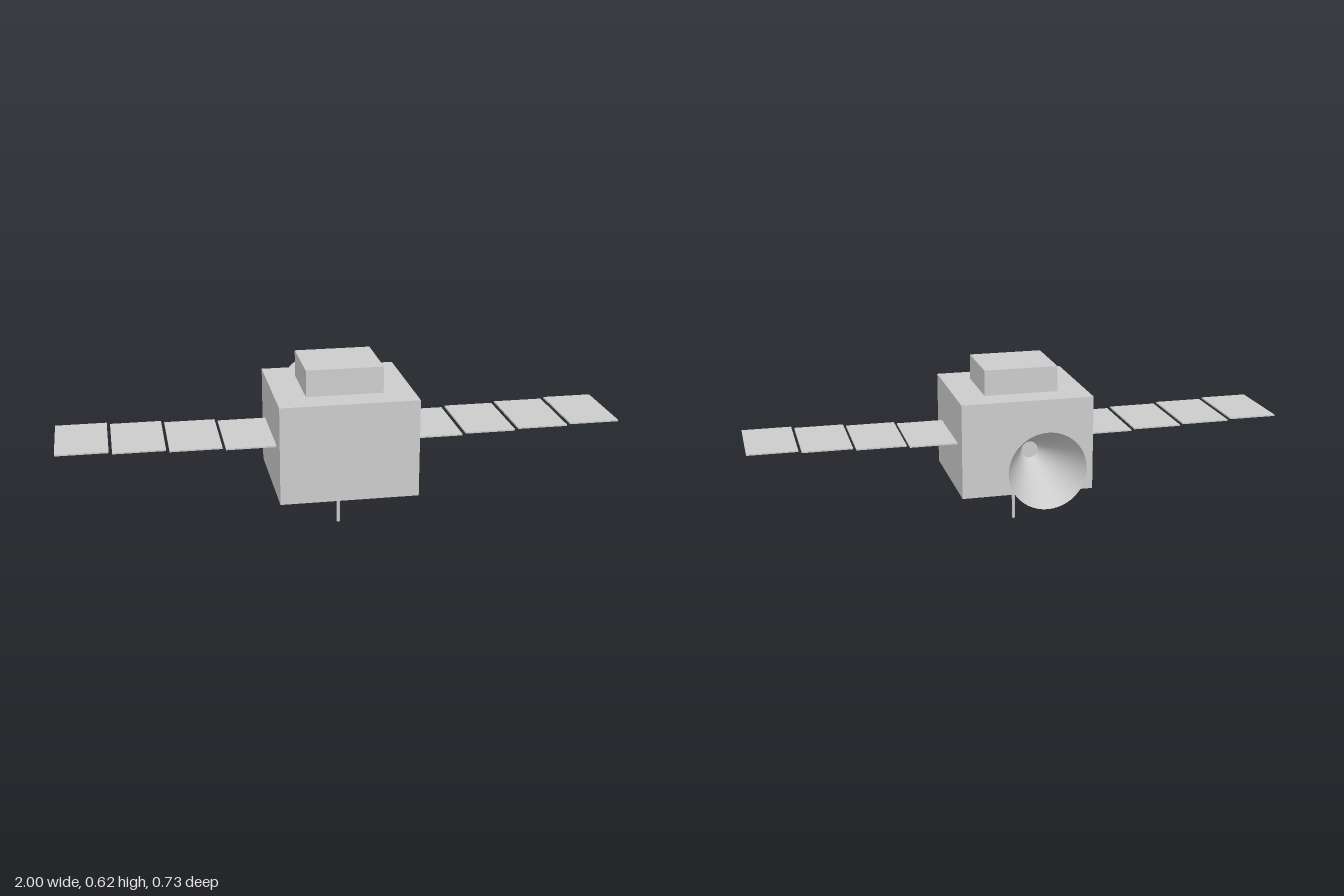
import * as THREE from 'three';

const grey = new THREE.MeshStandardMaterial({ color: 0xcccccc });
const greyOpen = new THREE.MeshStandardMaterial({ color: 0xcccccc, side: THREE.DoubleSide });

function add(parent, name, geometry, x, y, z, material = grey) {
  const mesh = new THREE.Mesh(geometry, material);
  mesh.name = name;
  mesh.position.set(x, y, z);
  parent.add(mesh);
  return mesh;
}

export function createModel() {
  const model = new THREE.Group();
  model.name = 'satellite';

  // Main body and the raised instrument housing on its roof
  add(model, 'body', new THREE.BoxGeometry(0.49, 0.352, 0.457), 0, 0.354, 0.137);
  add(model, 'topHousing', new THREE.BoxGeometry(0.274, 0.096, 0.25), 0, 0.577, 0.137);

  // Thin antenna below the body
  add(model, 'antenna', new THREE.CylinderGeometry(0.006, 0.006, 0.18, 16), 0, 0.09, 0.137);

  // Open horn behind the body, wide end facing back
  const horn = new THREE.CylinderGeometry(0.03, 0.139, 0.252, 48, 1, true);
  horn.rotateX(Math.PI / 2);
  add(model, 'horn', horn, 0, 0.354, -0.237, greyOpen);

  // Solar wings: four panels a side, each a little higher than the one before
  const panel = new THREE.BoxGeometry(0.182, 0.0055, 0.297);
  for (const side of [1, -1]) {
    const wing = new THREE.Group();
    wing.name = side > 0 ? 'leftWing' : 'rightWing';
    for (let i = 0; i < 4; i++) {
      add(wing, 'solarPanel', panel, side * (0.329 + i * 0.1933), 0.3645 + i * 0.0055, 0.137);
    }
    model.add(wing);
  }

  return model;
}
